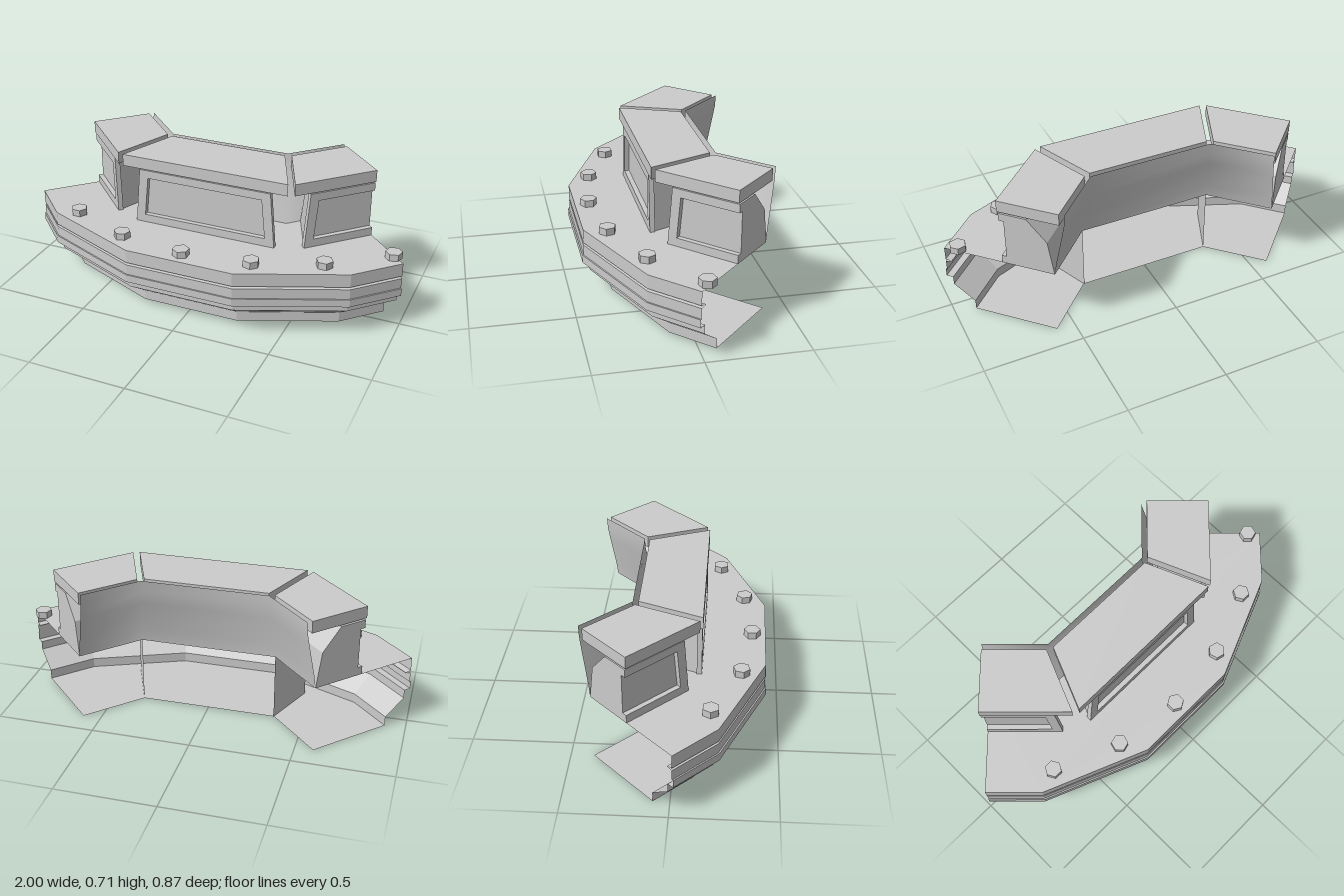
import * as THREE from 'three';

const DEG = Math.PI / 180;
const AXIS_Z = -0.978;            // centre of the ring this quarter belongs to
const TAN = Math.tan(22.5 * DEG);
const OUTER = [-45, -33.75, -11.25, 11.25, 33.75, 45];   // corners of a 16-sided ring
const INNER = [-45, -22.5, 22.5, 45];                    // corners of an 8-sided ring

const flat = new THREE.MeshStandardMaterial({ color: 0xcccccc, flatShading: true, side: THREE.DoubleSide });
const smooth = new THREE.MeshStandardMaterial({ color: 0xcccccc, side: THREE.DoubleSide });

// point on an n-sided ring with the given apothem
function ringPoint(apothem, deg, sides) {
  const step = 360 / sides;
  const off = deg - Math.round(deg / step) * step;
  const r = apothem / Math.cos(off * DEG);
  return [r * Math.sin(deg * DEG), r * Math.cos(deg * DEG)];
}

// sweep a profile of [apothem, y] along the ring corners
function sweep(profile, angles, sides) {
  const pos = [], index = [], n = angles.length;
  for (const [a, y] of profile)
    for (const deg of angles) {
      const [x, z] = ringPoint(a, deg, sides);
      pos.push(x, y, z);
    }
  for (let i = 0; i < profile.length - 1; i++)
    for (let j = 0; j < n - 1; j++) {
      const a = i * n + j, b = a + n;
      index.push(a, a + 1, b, a + 1, b + 1, b);
    }
  const g = new THREE.BufferGeometry();
  g.setAttribute('position', new THREE.Float32BufferAttribute(pos, 3));
  g.setIndex(index);
  g.computeVertexNormals();
  return g;
}

// flat ring sector between a 16-sided outer and an 8-sided inner edge
function sector(outer, inner, y) {
  const pts = OUTER.map((d) => ringPoint(outer, d, 16));
  for (const d of [...INNER].reverse()) pts.push(ringPoint(inner, d, 8));
  const shape = new THREE.Shape(pts.map((p) => new THREE.Vector2(p[0], p[1])));
  return new THREE.ShapeGeometry(shape).rotateX(Math.PI / 2).translate(0, y, 0);
}

// solid with a [depth, y] profile, spanning t0..t1 times a half width that varies with depth and height
function wedge(profile, t0, t1, halfWidth) {
  const shape = new THREE.Shape(profile.map((p) => new THREE.Vector2(p[0], p[1])));
  const g = new THREE.ExtrudeGeometry(shape, { depth: 1, bevelEnabled: false });
  const p = g.attributes.position;
  for (let i = 0; i < p.count; i++) {
    const r = p.getX(i), y = p.getY(i), t = t1 + (t0 - t1) * p.getZ(i);
    p.setXYZ(i, t * halfWidth(r, y), y, r);
  }
  g.computeVertexNormals();
  return g;
}

const blockWidth = (r, y) => r * TAN - 0.08 - 0.086 * (y - 0.35);
const capWidth = (r) => r * TAN - 0.018;

// window frame in front of a block; half frames are open at the end of the ring
function frame(t0, t1) {
  const trapezoid = (wBottom, wTop, y0, y1) => [
    [t0 * wBottom, y0], [t1 * wBottom, y0], [t1 * wTop, y1], [t0 * wTop, y1],
  ].map((p) => new THREE.Vector2(...p));
  const wB = blockWidth(1.098, 0.35), wT = blockWidth(1.098, 0.64);
  const outer = trapezoid(wB, wT, 0.35, 0.64);
  const hole = trapezoid(0.325, 0.305, 0.392, 0.598);
  const shapes = [];
  if (t0 < 0 && t1 > 0) {
    const s = new THREE.Shape(outer);
    s.holes.push(new THREE.Path(hole));
    shapes.push(s);
  } else if (t0 === 0) {
    shapes.push(new THREE.Shape([outer[0], outer[1], outer[2], outer[3], hole[3], hole[2], hole[1], hole[0]]));
  } else {
    shapes.push(new THREE.Shape([outer[1], hole[1], hole[0], hole[3], hole[2], outer[2], outer[3], outer[0]]));
  }
  return new THREE.ExtrudeGeometry(shapes, { depth: 0.025, bevelEnabled: false }).translate(0, 0, 1.073);
}

export function createModel() {
  const model = new THREE.Group();
  const ring = new THREE.Group();
  ring.name = 'ringSegment';
  ring.position.z = AXIS_Z;
  model.add(ring);

  function add(name, geometry, material = flat, parent = ring) {
    const mesh = new THREE.Mesh(geometry, material);
    mesh.name = name;
    parent.add(mesh);
    return mesh;
  }

  // stepped outer skirt with a groove, plus floor and deck sheets
  add('outerSkirt', sweep([
    [1.27, 0], [1.27, 0.052], [1.378, 0.13], [1.378, 0.175], [1.413, 0.175], [1.413, 0.215],
    [1.406, 0.215], [1.406, 0.268], [1.375, 0.273], [1.375, 0.276], [1.406, 0.281], [1.406, 0.35],
  ], OUTER, 16));
  add('floorPlate', sector(1.27, 0.835, 0.002));
  add('deckPlate', sector(1.406, 0.831, 0.35));

  // leaning inner wall with an upright lip
  add('innerWall', sweep([
    [0.831, 0.35], [0.82, 0.42], [0.786, 0.58], [0.772, 0.65], [0.768, 0.71],
  ], INNER, 8), smooth);

  // radial support panels between floor and deck
  for (const s of [-1, 1]) {
    const panel = add('supportPanel', new THREE.PlaneGeometry(0.289, 0.346));
    const r = 0.899 + 0.1445, a = s * 22.5 * DEG;
    panel.position.set(r * Math.sin(a), 0.177, r * Math.cos(a));
    panel.rotation.y = a + Math.PI / 2;
  }

  // parapet blocks with windows and caps: a full one in the middle, a half one at each end
  const bodyProfile = [[0.83, 0.35], [1.073, 0.35], [1.073, 0.64], [0.959, 0.64], [0.86, 0.53]];
  const capProfile = [[0.795, 0.648], [1.104, 0.648], [1.104, 0.709], [0.795, 0.709]];
  for (const [name, angle, t0, t1] of [
    ['centreBlock', 0, -1, 1], ['leftBlock', 45, -1, 0], ['rightBlock', -45, 0, 1],
  ]) {
    const block = new THREE.Group();
    block.name = name;
    block.rotation.y = angle * DEG;
    ring.add(block);
    add('blockBody', wedge(bodyProfile, t0, t1, blockWidth), flat, block);
    add('windowFrame', frame(t0, t1), flat, block);
    add('blockCap', wedge(capProfile, t0, t1, capWidth), flat, block);
  }

  // hexagonal bolts along the deck rim
  const boltGeometry = new THREE.CylinderGeometry(0.042, 0.042, 0.036, 6);
  for (let i = 0; i < 6; i++) {
    const a = (-30.6 + 15 * i) * DEG;
    const bolt = add('bolt', boltGeometry);
    bolt.position.set(1.338 * Math.sin(a), 0.367, 1.338 * Math.cos(a));
    bolt.rotation.y = a;
  }
  return model;
}
